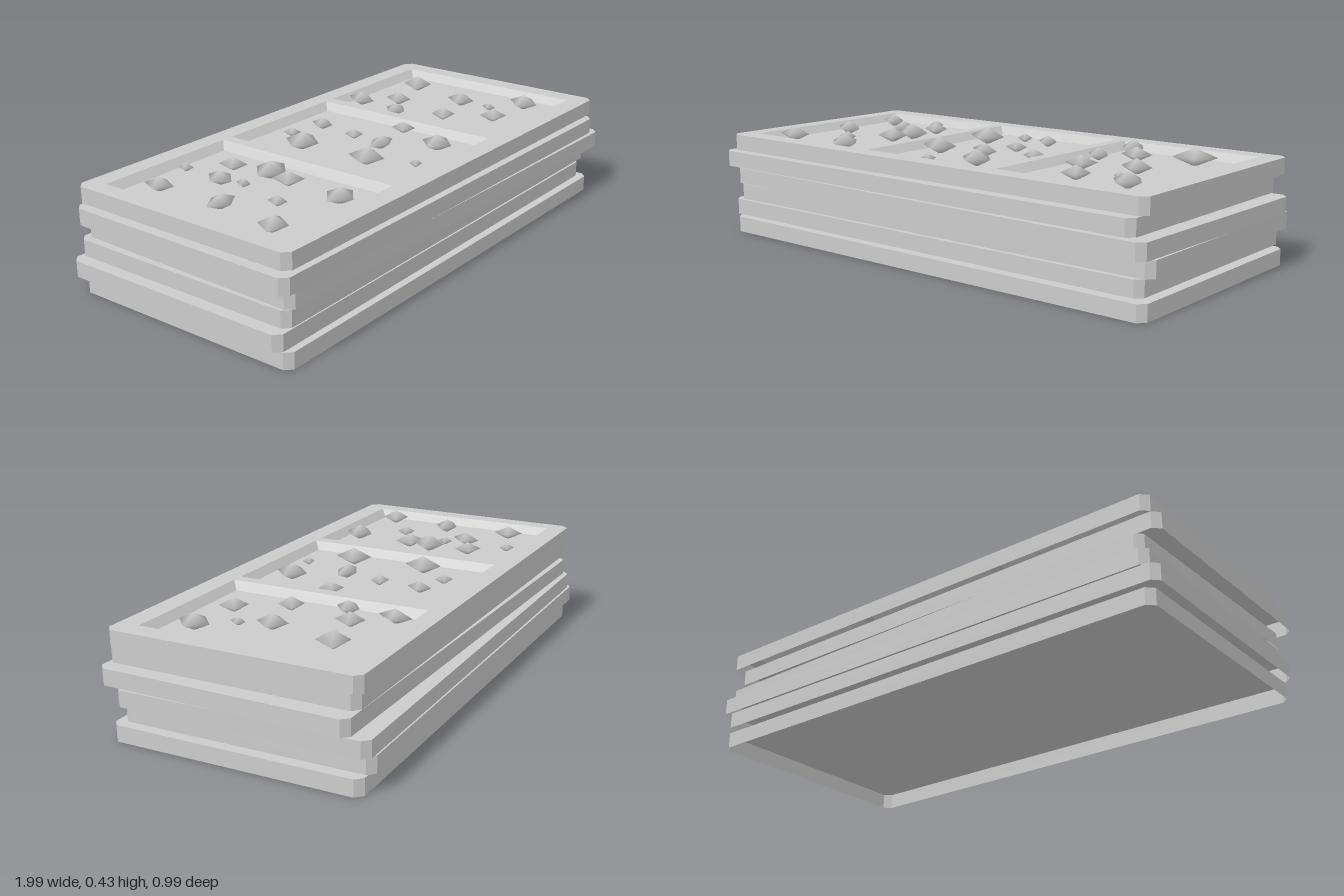
import * as THREE from 'three';
import { mergeGeometries, mergeVertices } from 'three/addons/utils/BufferGeometryUtils.js';

const material = new THREE.MeshStandardMaterial({ color: 0xcccccc, side: THREE.DoubleSide });
const HEIGHT = 0.06, PITCH = 0.0665, DEPTH = 0.03;
const HALF_X = 0.967, HALF_Z = 0.464, CHAMFER = 0.025;

// rectangle outline [x, z], counter-clockwise seen in the XY shape plane, with cut corners
function outline(x0, x1, z0, z1, c = 0) {
  if (!c) return [[x0, z0], [x1, z0], [x1, z1], [x0, z1]];
  return [[x0 + c, z0], [x1 - c, z0], [x1, z0 + c], [x1, z1 - c],
    [x1 - c, z1], [x0 + c, z1], [x0, z1 - c], [x0, z0 + c]];
}

// flat horizontal face facing up, with optional holes
function flatFace(points, y, holes = []) {
  const vecs = (pts) => pts.map(([x, z]) => new THREE.Vector2(x, -z));
  const shape = new THREE.Shape(vecs(points));
  holes.forEach((h) => shape.holes.push(new THREE.Path(vecs(h))));
  const geo = new THREE.ShapeGeometry(shape).rotateX(-Math.PI / 2).translate(0, y, 0).toNonIndexed();
  geo.deleteAttribute('uv');
  return geo;
}

// wall joining two outlines with the same number of corners
function wall(low, yLow, high, yHigh) {
  const pos = [];
  low.forEach((a, i) => {
    const j = (i + 1) % low.length;
    const A = [a[0], yLow, a[1]], B = [low[j][0], yLow, low[j][1]];
    const C = [high[j][0], yHigh, high[j][1]], D = [high[i][0], yHigh, high[i][1]];
    pos.push(...A, ...C, ...B, ...A, ...D, ...C);
  });
  const geo = new THREE.BufferGeometry();
  geo.setAttribute('position', new THREE.Float32BufferAttribute(pos, 3));
  geo.computeVertexNormals();
  return geo;
}

function addMesh(parent, geometry, name) {
  const mesh = new THREE.Mesh(geometry, material);
  mesh.name = name;
  parent.add(mesh);
  return mesh;
}

// tray: outer walls open underneath, top face and optional sloped recesses
function makeTray(name, withRecesses) {
  const tray = new THREE.Group();
  tray.name = name;
  const outer = outline(-HALF_X, HALF_X, -HALF_Z, HALF_Z, CHAMFER);
  const spans = withRecesses ? [[-0.9, -0.33], [-0.285, 0.28], [0.325, 0.89]] : [];
  const holes = spans.map(([a, b]) => outline(a, b, -0.39, 0.385));
  addMesh(tray, mergeGeometries([
    wall(outer, 0, outer, HEIGHT), flatFace(outer, HEIGHT, holes),
  ]), 'trayShell');
  spans.forEach(([a, b], i) => {
    const s = 0.025, floor = outline(a + s, b - s, -0.39 + s, 0.385 - s);
    addMesh(tray, mergeGeometries([
      wall(holes[i], HEIGHT, floor, HEIGHT - DEPTH), flatFace(floor, HEIGHT - DEPTH),
    ]), 'recess' + (i + 1));
  });
  return tray;
}

// rough four-cornered chunk, smooth shaded
function chunkGeometry() {
  const geo = new THREE.OctahedronGeometry(1);
  geo.deleteAttribute('normal');
  geo.deleteAttribute('uv');
  const merged = mergeVertices(geo);
  merged.computeVertexNormals();
  return merged;
}

export function createModel() {
  const model = new THREE.Group();
  model.name = 'trayStack';

  // stacked trays: x shift, z shift, turn
  const trays = [
    [0, 0, 0], [-0.03, -0.022, 0.004], [0.008, -0.021, 0.006],
    [0.02, 0.015, -0.017], [-0.03, 0.02, -0.004], [0, 0, 0],
  ];
  trays.forEach(([x, z, turn], i) => {
    const tray = makeTray('tray' + (i + 1), i === trays.length - 1);
    tray.position.set(x, i * PITCH, z);
    tray.rotation.y = turn;
    model.add(tray);
  });

  // loose chunks in the top tray: x, z, width, depth
  const chunks = [
    [-0.78, -0.26, 0.08, 0.1], [-0.59, -0.325, 0.05, 0.05], [-0.61, -0.14, 0.08, 0.1],
    [-0.48, -0.2, 0.08, 0.09], [-0.58, -0.06, 0.04, 0.05], [-0.46, -0.04, 0.13, 0.11],
    [-0.48, 0.055, 0.1, 0.1], [-0.77, 0.015, 0.11, 0.08], [-0.64, 0.145, 0.06, 0.06],
    [-0.81, 0.275, 0.11, 0.09], [-0.5, 0.295, 0.11, 0.1],
    [-0.07, -0.275, 0.05, 0.06], [0.07, -0.24, 0.07, 0.08], [-0.16, -0.15, 0.13, 0.12],
    [0.05, -0.07, 0.07, 0.06], [0.02, 0.08, 0.11, 0.07], [0.22, 0.04, 0.07, 0.08],
    [-0.15, 0.14, 0.12, 0.12], [0.13, 0.255, 0.11, 0.11], [-0.065, 0.295, 0.05, 0.04],
    [0.415, -0.31, 0.08, 0.11], [0.51, -0.19, 0.1, 0.09], [0.72, -0.24, 0.14, 0.1],
    [0.39, -0.12, 0.08, 0.08], [0.45, 0.07, 0.1, 0.08], [0.65, 0.025, 0.1, 0.1],
    [0.665, 0.15, 0.04, 0.05], [0.55, 0.24, 0.09, 0.09], [0.765, 0.255, 0.1, 0.11],
  ];
  const geo = chunkGeometry();
  const pile = new THREE.Group();
  pile.name = 'chunks';
  const floorY = 5 * PITCH + HEIGHT - DEPTH;
  chunks.forEach(([x, z, w, d], i) => {
    const peak = 0.372 + 0.45 * Math.min(0.122, (w + d) / 2);
    const half = (peak - floorY + 0.004) / 2;
    const chunk = addMesh(pile, geo, 'chunk' + (i + 1));
    chunk.scale.set(w * 0.58, half, d * 0.58);
    chunk.position.set(x, peak - half, z);
    chunk.rotation.y = 0.25 + 0.35 * Math.sin(i * 2.4);
  });
  model.add(pile);
  return model;
}
